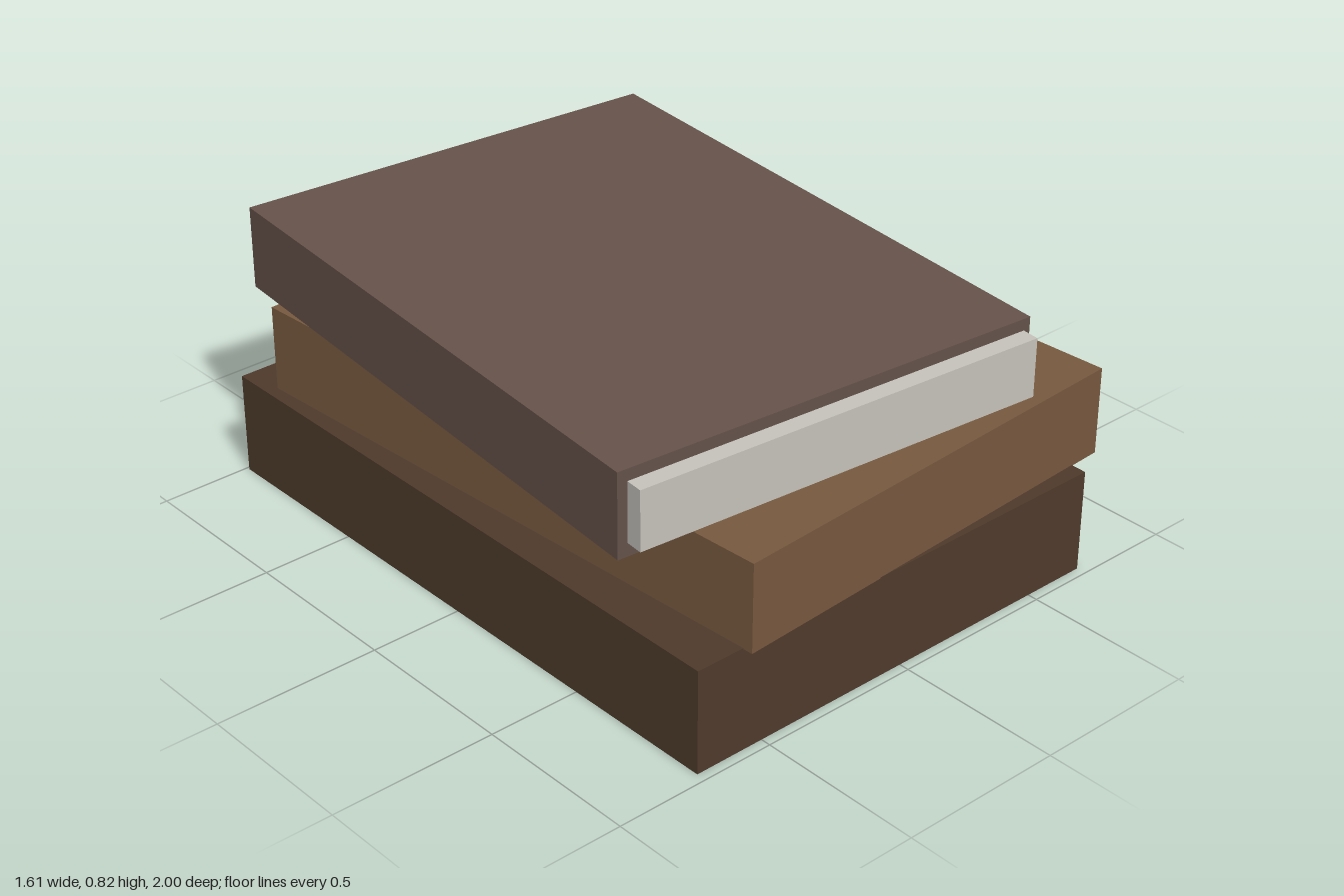
import * as THREE from 'three';

// A box from y0 to y1, turned about the vertical axis
function slab(name, color, width, depth, y0, y1, x, z, turn = 0) {
  const mesh = new THREE.Mesh(
    new THREE.BoxGeometry(width, y1 - y0, depth),
    new THREE.MeshStandardMaterial({ color })
  );
  mesh.name = name;
  mesh.position.set(x, (y0 + y1) / 2, z);
  mesh.rotation.y = turn;
  return mesh;
}

export function createModel() {
  const model = new THREE.Group();
  model.name = 'bookStack';

  // Three books, each turned a little differently
  model.add(slab('bottomBook', 0x4e3a2b, 1.42, 1.96, 0, 0.313, -0.01, -0.01));
  model.add(slab('middleBook', 0x77583e, 1.373, 1.868, 0.31, 0.575, 0.06, 0.025, 0.062));

  const topBook = new THREE.Group();
  topBook.name = 'topBook';
  topBook.position.set(-0.0625, 0, -0.055);
  topBook.rotation.y = -0.0903;
  topBook.add(slab('topCover', 0x65524b, 1.33, 1.777, 0.575, 0.825, 0, 0));
  // Page block standing out of the front edge
  topBook.add(slab('topPages', 0xc5c2bb, 1.28, 0.1, 0.614, 0.79, 0.005, 0.891));
  model.add(topBook);

  return model;
}
